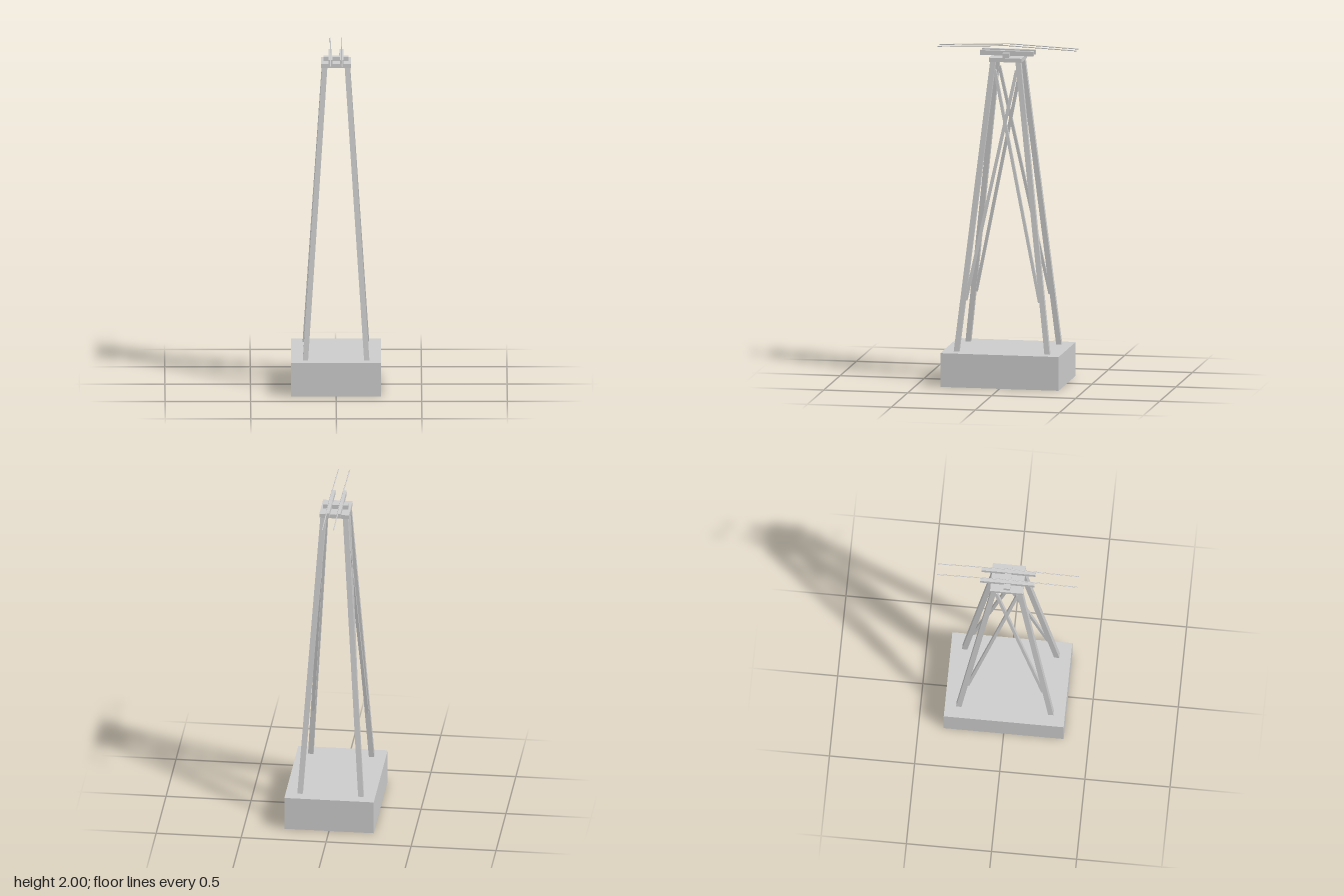
import * as THREE from 'three';

const material = new THREE.MeshStandardMaterial({ color: 0xcccccc, flatShading: true });

function add(parent, name, geometry, x = 0, y = 0, z = 0) {
  const mesh = new THREE.Mesh(geometry, material);
  mesh.name = name;
  mesh.position.set(x, y, z);
  parent.add(mesh);
  return mesh;
}

// Leaning square post with level ends, running from point a up to point b
function post(a, b, width) {
  const height = b[1] - a[1];
  const geometry = new THREE.BoxGeometry(width, height, width);
  const pos = geometry.attributes.position;
  for (let i = 0; i < pos.count; i++) {
    const t = pos.getY(i) / height + 0.5;
    pos.setXYZ(
      i,
      pos.getX(i) + a[0] + (b[0] - a[0]) * t,
      a[1] + height * t,
      pos.getZ(i) + a[2] + (b[2] - a[2]) * t
    );
  }
  geometry.computeVertexNormals();
  return geometry;
}

// Round wire between two points
function wire(a, b, radius) {
  return new THREE.TubeGeometry(
    new THREE.LineCurve3(new THREE.Vector3(...a), new THREE.Vector3(...b)), 1, radius, 8
  );
}

export function createModel() {
  const tower = new THREE.Group();
  tower.name = 'cableTower';

  // Foundation block
  add(tower, 'foundation', new THREE.BoxGeometry(0.526, 0.2, 0.704), 0, 0.1, 0);

  // Four splayed legs, and crossed braces on the left and right sides
  const legX = (y) => 0.179 - 0.113 * (y - 0.2) / 1.71;
  for (const sx of [-1, 1]) {
    for (const sz of [-1, 1]) {
      add(tower, 'leg', post([sx * 0.179, 0.2, sz * 0.27], [sx * 0.066, 1.91, sz * 0.075], 0.031));
      add(tower, 'brace', post(
        [sx * legX(0.5), 0.5, sz * 0.22], [sx * legX(1.86), 1.86, -sz * 0.065], 0.018
      ));
    }
  }

  // Head plate and crossbeam
  add(tower, 'headPlate', new THREE.BoxGeometry(0.174, 0.024, 0.194), 0, 1.919, 0);
  add(tower, 'crossbeam', new THREE.BoxGeometry(0.148, 0.026, 0.038), 0, 1.944, 0);

  // Support rails, with a cable sagging to both ends above each
  for (const sx of [-1, 1]) {
    const x = sx * 0.033;
    add(tower, 'cableRail', new THREE.BoxGeometry(0.022, 0.028, 0.318), x, 1.953, 0);
    for (const sz of [-1, 1]) {
      add(tower, 'cable', wire([x, 1.997, 0], [x, 1.979, sz * 0.414], 0.003));
    }
  }

  return tower;
}
